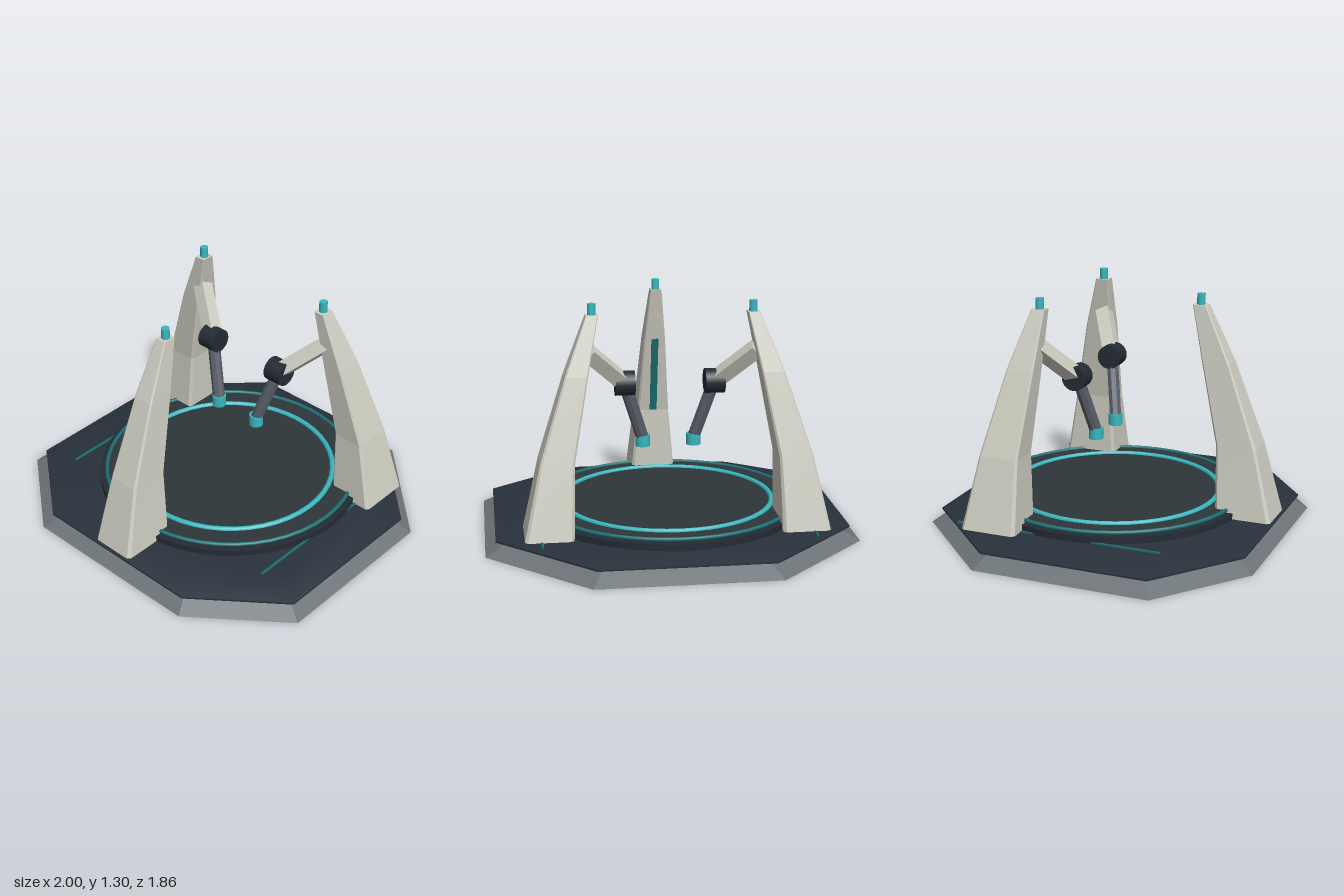
import * as THREE from 'three';
import { toCreasedNormals } from 'three/addons/utils/BufferGeometryUtils.js';

const mat = (name, color) => new THREE.MeshStandardMaterial({ name, color });
const CZ = -0.037; // z of the platform's centre

// Closed solid through cross-sections listed from bottom to top, each counterclockwise from above
function loft(sections, crease) {
  const n = sections[0].length, pos = [], idx = [];
  sections.forEach((s) => s.forEach((p) => pos.push(...p)));
  for (let k = 0; k < sections.length - 1; k++) {
    for (let i = 0; i < n; i++) {
      const a = k * n + i, b = k * n + (i + 1) % n;
      idx.push(a, b, b + n, a, b + n, a + n);
    }
  }
  const t = (sections.length - 1) * n;
  for (let i = 1; i < n - 1; i++) idx.push(t, t + i, t + i + 1, 0, i + 1, i);
  const g = new THREE.BufferGeometry();
  g.setAttribute('position', new THREE.Float32BufferAttribute(pos, 3));
  g.setIndex(idx);
  return toCreasedNormals(g, crease);
}

// Platform outline, scaled and placed at a height
const OUTLINE = [[1, 0.55], [1, -0.41], [0.48, -0.93], [-0.48, -0.93],
  [-1, -0.41], [-1, 0.55], [-0.52, 0.925], [0.52, 0.925]];
const octagon = (s, y) => OUTLINE.map(([x, z]) => [x * s, y, z * s]);

// Rectangle with chamfered corners
function chamferedRect(cx, y, cz, w, d) {
  const c = w * 0.13;
  return [[w, d - c], [w, c - d], [w - c, -d], [c - w, -d],
    [-w, c - d], [-w, d - c], [c - w, d], [w - c, d]].map(([x, z]) => [cx + x, y, cz + z]);
}

// Pylon profile: height, distance from centre, half width, half depth
const PYLON = [[0.125, 0.775, 0.127, 0.153], [0.51, 0.718, 0.09, 0.109],
  [0.945, 0.59, 0.06, 0.075], [1.245, 0.487, 0.031, 0.037]];

export function createModel() {
  const model = new THREE.Group();
  model.name = 'roboticWorkPlatform';
  const ivory = mat('ivory', 0xcfcec2);
  const slabGrey = mat('slabGrey', 0x6c7377);
  const navy = mat('navy', 0x28313b);
  const charcoal = mat('charcoal', 0x2e363a);
  const darkNavy = mat('darkNavy', 0x242b34);
  const armGrey = mat('armGrey', 0x5a5f69);
  const teal = mat('teal', 0x38b8c0);
  const darkTeal = mat('darkTeal', 0x1c7072);

  const add = (name, geometry, material, x = 0, y = 0, z = 0, parent = model) => {
    const m = new THREE.Mesh(geometry, material);
    m.name = name;
    m.position.set(x, y, z);
    parent.add(m);
    return m;
  };
  // Turns a mesh's y axis along the line from a to b and centres it there
  const span = (m, a, b) => {
    m.position.copy(a).add(b).multiplyScalar(0.5);
    m.quaternion.setFromUnitVectors(new THREE.Vector3(0, 1, 0), b.clone().sub(a).normalize());
    return m;
  };

  // Platform
  add('baseSlab', loft([octagon(1, 0), octagon(0.87, 0.072)], 0.1), slabGrey);
  add('deckPlate', loft([octagon(0.945, 0.072), octagon(0.945, 0.082), octagon(0.82, 0.122)], 0.5), navy);
  add('lowerDisc', new THREE.CylinderGeometry(0.735, 0.735, 0.04, 48), darkNavy, 0, 0.137, CZ);
  add('upperDisc', new THREE.CylinderGeometry(0.7, 0.7, 0.02, 48), charcoal, 0, 0.16, CZ);

  // Glowing rings on the disc
  const ring = (name, r, tube, material) => {
    const g = new THREE.TorusGeometry(r, tube, 8, 48).rotateX(Math.PI / 2);
    add(name, g, material, 0, 0.17, CZ);
  };
  ring('outerRing', 0.698, 0.011, darkTeal);
  ring('innerRing', 0.575, 0.015, teal);

  // Light strips along the deck
  for (const s of [-1, 1]) {
    add('deckStrip', new THREE.BoxGeometry(0.012, 0.012, 1.14), darkTeal, 0.71 * s, 0.124, -0.07);
  }

  // Three pylons leaning inward, a third of a turn apart
  for (let i = 0; i < 3; i++) {
    const a = i * Math.PI * 2 / 3, dx = Math.sin(a), dz = Math.cos(a);
    const sections = PYLON.map(([y, r, w, d]) => chamferedRect(dx * r, y, CZ + dz * r, w, d));
    add('pylon', loft(sections, 0.05), ivory);
    add('beacon', new THREE.CylinderGeometry(0.022, 0.022, 0.06, 16), teal,
      dx * 0.487, 1.273, CZ + dz * 0.487);
  }

  // Light strip on the inner face of the front pylon
  span(add('pylonStrip', new THREE.BoxGeometry(0.04, 0.45, 0.009), darkTeal),
    new THREE.Vector3(0, 0.52, 0.568), new THREE.Vector3(0, 0.945, 0.476));

  // Jointed arms on the two rear pylons
  for (const s of [-1, 1]) {
    const arm = new THREE.Group();
    arm.name = s > 0 ? 'leftArm' : 'rightArm';
    model.add(arm);
    const shoulder = new THREE.Vector3(0.445 * s, 1.05, -0.29);
    const elbow = new THREE.Vector3(0.24 * s, 0.85, -0.155);
    const wrist = new THREE.Vector3(0.138 * s, 0.525, -0.092);
    span(add('upperArm', new THREE.BoxGeometry(0.075, shoulder.distanceTo(elbow), 0.075), ivory, 0, 0, 0, arm),
      elbow, shoulder);
    const joint = new THREE.CylinderGeometry(0.066, 0.066, 0.105, 24).rotateZ(Math.PI / 2);
    add('elbowJoint', joint, darkNavy, elbow.x, elbow.y, elbow.z, arm);
    const tube = new THREE.CylinderGeometry(0.034, 0.034, wrist.distanceTo(elbow), 8);
    span(add('forearm', toCreasedNormals(tube, 0.1), armGrey, 0, 0, 0, arm), wrist, elbow);
    add('toolTip', new THREE.CylinderGeometry(0.039, 0.039, 0.062, 20), teal, wrist.x, 0.516, wrist.z, arm);
  }
  return model;
}
